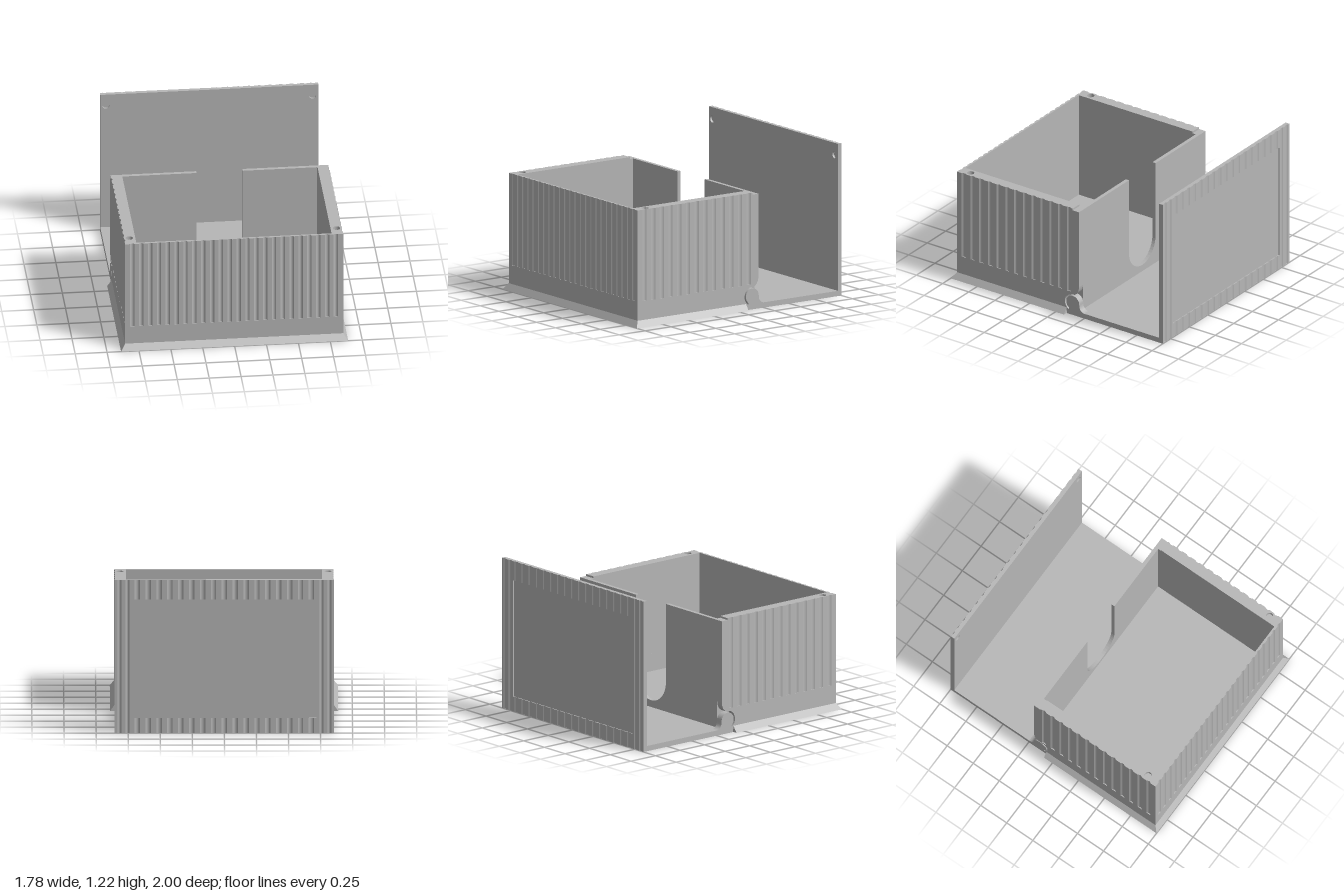
import * as THREE from 'three';

const W = 0.855, IN = 0.765;   // outer and inner half width
const grey = new THREE.MeshStandardMaterial({ color: 0xb6b6b6 });
grey.name = 'plain grey';

function add(parent, name, geometry) {
  const m = new THREE.Mesh(geometry, grey);
  m.name = name;
  parent.add(m);
  return m;
}
function block(parent, name, x0, x1, y0, y1, z0, z1) {
  const g = new THREE.BoxGeometry(x1 - x0, y1 - y0, z1 - z0);
  g.translate((x0 + x1) / 2, (y0 + y1) / 2, (z0 + z1) / 2);
  return add(parent, name, g);
}
const extrude = (shape, depth) =>
  new THREE.ExtrudeGeometry(shape, { depth, bevelEnabled: false, curveSegments: 12 });

// plan drawn as (x, -z), raised from y0 to y1
const raise = (shape, y0, y1) => extrude(shape, y1 - y0).rotateX(-Math.PI / 2).translate(0, y0, 0);
// profile drawn as (z, y), extruded from x0 to x1
const across = (shape, x0, x1) => extrude(shape, x1 - x0).rotateY(-Math.PI / 2).translate(x1, 0, 0);
// elevation drawn as (x, y), extruded from z0 to z1
const along = (shape, z0, z1) => extrude(shape, z1 - z0).translate(0, 0, z0);

function hole(shape, x, y, r) {
  const p = new THREE.Path();
  p.absarc(x, y, r, 0, Math.PI * 2, true);
  shape.holes.push(p);
}

// line from a to b with n shallow rounded grooves cut towards its left side
function grooved(s, a, b, n, depth = 0.008) {
  const dx = b[0] - a[0], dy = b[1] - a[1], len = Math.hypot(dx, dy);
  const ox = -dy / len * depth * 2, oy = dx / len * depth * 2;
  const step = 1 / (n - 0.5);
  for (let i = 0; i < n; i++) {
    const t0 = i * step, tm = t0 + step / 4, t1 = t0 + step / 2;
    s.lineTo(a[0] + dx * t0, a[1] + dy * t0);
    s.quadraticCurveTo(a[0] + dx * tm + ox, a[1] + dy * tm + oy, a[0] + dx * t1, a[1] + dy * t1);
  }
}

// U-shaped plan of the front and side walls
function wallPlan() {
  const s = new THREE.Shape();
  s.moveTo(-W, 0.14);
  grooved(s, [-W, 0.125], [-W, -0.92], 13);
  s.lineTo(-W, -0.965);
  grooved(s, [-0.815, -0.965], [0.815, -0.965], 24);
  s.lineTo(W, -0.965);
  grooved(s, [W, -0.92], [W, 0.125], 13);
  s.lineTo(W, 0.14);
  s.lineTo(IN, 0.14);
  s.lineTo(IN, -0.945);
  s.lineTo(-IN, -0.945);
  s.lineTo(-IN, 0.14);
  return s;
}

// side profile of the lower wall and rear post, optionally hollowed for the hinge
function postProfile(scooped) {
  const s = new THREE.Shape();
  s.moveTo(0.965, 0.2);
  s.lineTo(0.965, 0);
  if (scooped) {
    s.lineTo(-0.075, 0);
    s.lineTo(-0.08, 0.022);
    s.lineTo(-0.095, 0.03);
    s.absarc(-0.14, 0.105, 0.075, -1.0, 1.75, false);
    s.quadraticCurveTo(-0.195, 0.195, -0.2, 0.26);
  } else {
    s.lineTo(-0.085, 0);
    s.lineTo(-0.085, 0.045);
    s.lineTo(-0.2, 0.045);
  }
  s.lineTo(-0.2, 0.915);
  s.lineTo(-0.14, 0.915);
  s.lineTo(-0.14, 0.2);
  return s;
}

// rounded hinge ear that rises from the lid
function earProfile() {
  const s = new THREE.Shape();
  s.moveTo(-0.26, 0);
  s.lineTo(-0.085, 0);
  s.lineTo(-0.09, 0.02);
  s.lineTo(-0.105, 0.035);
  s.absarc(-0.14, 0.105, 0.062, -0.95, Math.PI, false);
  s.quadraticCurveTo(-0.202, 0.045, -0.26, 0.04);
  return s;
}

function makeBox() {
  const box = new THREE.Group();
  box.name = 'box';
  add(box, 'ribbedWalls', raise(wallPlan(), 0.2, 0.9));
  const rim = wallPlan();
  for (const s of [-1, 1]) hole(rim, s * 0.812, -0.865, 0.029);
  add(box, 'rimWithMagnetHoles', raise(rim, 0.9, 0.93));

  for (const s of [-1, 1]) {
    const span = (a, b) => (s > 0 ? [a, b] : [-b, -a]);
    add(box, 'sideBase', across(postProfile(false), ...span(IN, 0.8)));
    add(box, 'hingeSocket', across(postProfile(true), ...span(0.8, W)));
  }
  block(box, 'frontBase', -IN, IN, 0, 0.2, 0.945, 0.965);
  block(box, 'floor', -IN, IN, 0.045, 0.06, -0.2, 0.945);

  // back wall with a round-bottomed finger slot
  const back = new THREE.Shape();
  back.moveTo(-IN, 0.045);
  back.lineTo(IN, 0.045);
  back.lineTo(IN, 0.915);
  back.lineTo(0.18, 0.915);
  back.lineTo(0.18, 0.28);
  back.absarc(0, 0.28, 0.18, 0, Math.PI, true);
  back.lineTo(-0.18, 0.915);
  back.lineTo(-IN, 0.915);
  add(box, 'backWall', along(back, -0.2, -0.17));

  // sloping skirt round the foot
  let skirt = new THREE.BoxGeometry(1.78, 0.05, 1.08).translate(0, 0.025, 0.46);
  const p = skirt.attributes.position;
  for (let i = 0; i < p.count; i++) {
    if (p.getY(i) < 0.03) continue;
    p.setX(i, Math.sign(p.getX(i)) * W);
    if (p.getZ(i) > 0.5) p.setZ(i, 0.965);
  }
  skirt.computeVertexNormals();
  add(box, 'skirt', skirt);
  return box;
}

// strip of the lid's grooved outer skin between x0 and x1
function skin(x0, x1, n) {
  const s = new THREE.Shape();
  s.moveTo(x0, 0.99);
  s.lineTo(x1, 0.99);
  s.lineTo(x1, 1);
  grooved(s, [x1 - 0.02, 1], [x0 + 0.02, 1], n);
  s.lineTo(x0, 1);
  return s;
}

function makeLid() {
  const lid = new THREE.Group();
  lid.name = 'lid';
  block(lid, 'lidBack', -W, W, 0, 0.042, -0.965, -0.085);
  for (const x of [-W, 0.8]) add(lid, 'hingeEar', across(earProfile(), x, x + 0.055));

  // top panel, with magnet holes sunk in its inner face
  const face = new THREE.Shape();
  face.moveTo(-W, 0);
  face.lineTo(W, 0);
  face.lineTo(W, 1.215);
  face.lineTo(-W, 1.215);
  for (const s of [-1, 1]) hole(face, s * 0.81, 1.12, 0.028);
  add(lid, 'lidInnerFace', along(face, -0.982, -0.965));
  block(lid, 'lidPanel', -W, W, 0, 1.215, -0.99, -0.982);

  // grooved border round the sunken panel
  add(lid, 'ribBorderTop', raise(skin(-0.72, 0.72, 17), 1.06, 1.215));
  add(lid, 'ribBorderBottom', raise(skin(-0.72, 0.72, 17), 0, 0.12));
  for (const s of [-1, 1]) {
    const x = s > 0 ? 0.72 : -W;
    add(lid, 'ribBorderSide', raise(skin(x, x + 0.135, 2), 0, 1.215));
  }
  return lid;
}

export function createModel() {
  const model = new THREE.Group();
  model.name = 'hingedBox';
  model.add(makeBox(), makeLid());
  return model;
}
